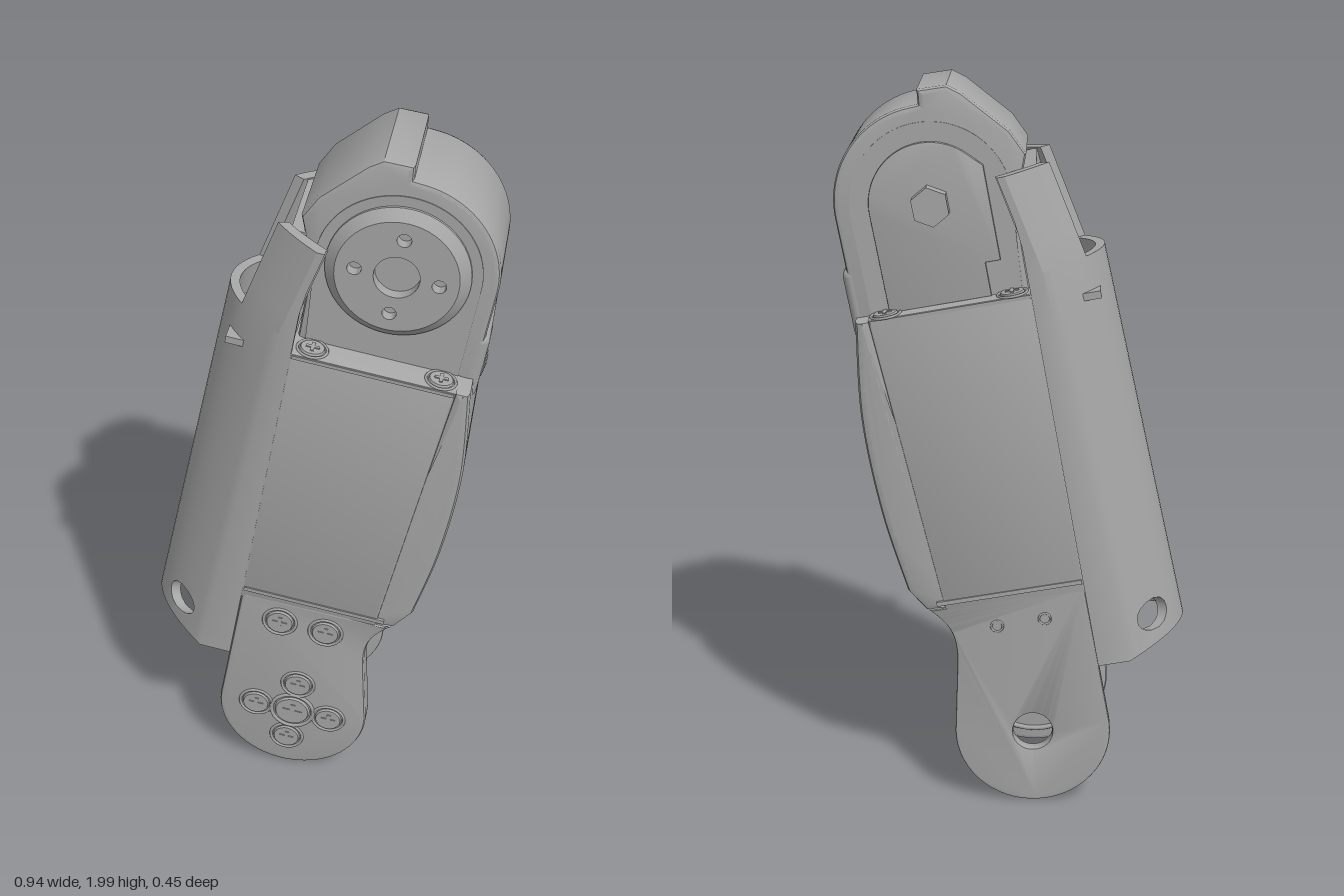
import * as THREE from 'three';
import { toCreasedNormals } from 'three/addons/utils/BufferGeometryUtils.js';
import { RoundedBoxGeometry } from 'three/addons/geometries/RoundedBoxGeometry.js';

const grey = new THREE.MeshStandardMaterial({ color: 0xa6a6a6, side: THREE.DoubleSide });
grey.name = 'grey plastic';
const HEAD_Y = 1.503; // distance between the two joint axes

function add(parent, geo, name, x = 0, y = 0, z = 0) {
  const m = new THREE.Mesh(geo, grey);
  m.name = name;
  m.position.set(x, y, z);
  parent.add(m);
  return m;
}

const poly = pts => new THREE.Shape(pts.map(p => new THREE.Vector2(p[0], p[1])));

function circleHole(shape, x, y, r) {
  shape.holes.push(new THREE.Path().absarc(x, y, r, 0, Math.PI * 2, true));
}

// Extrude an outline from z0 to z1, with the bevel kept inside the outline
function slab(shape, z0, z1, b = 0) {
  const g = new THREE.ExtrudeGeometry(shape, {
    depth: z1 - z0 - 2 * b, bevelEnabled: b > 0, bevelSize: b, bevelThickness: b,
    bevelOffset: -b, bevelSegments: 2, curveSegments: 32,
  });
  g.translate(0, 0, z0 + b);
  return toCreasedNormals(g, 0.5);
}

// Cross-head screw facing +z, resting on z = 0
function screw(parent, r, x, y, z, h = 0.006) {
  const s = new THREE.Group();
  s.name = 'screw';
  s.position.set(x, y, z);
  add(s, new THREE.CylinderGeometry(r * 0.72, r * 0.78, h, 24).rotateX(Math.PI / 2), 'screwHead', 0, 0, h / 2);
  add(s, new THREE.TorusGeometry(r * 0.93, r * 0.09, 6, 28), 'screwRim');
  for (const a of [0, Math.PI / 2]) {
    add(s, new THREE.BoxGeometry(r * 0.85, r * 0.22, 0.004), 'crossSlot', 0, 0, h + 0.001).rotation.z = a;
  }
  parent.add(s);
  return s;
}

// Fork arm outline: round foot, slight waist, flared top
function forkShape() {
  const s = new THREE.Shape();
  s.moveTo(-0.213, 0.41);
  s.lineTo(-0.215, 0);
  s.absarc(0, 0, 0.215, Math.PI, Math.PI * 2 + 0.25, false);
  s.lineTo(0.168, 0.24);
  s.bezierCurveTo(0.15, 0.33, 0.17, 0.36, 0.215, 0.41);
  return s;
}

// Curved rear shell: arched section swept upward, with a top notch and two round holes
function shellGeometry() {
  const cols = [];
  for (let k = 0; k <= 20; k++) cols.push({ z: -0.2 + 0.02 * k });
  cols.unshift({ z: -0.215, side: true }, { z: -0.215 });
  cols.push({ z: 0.215 }, { z: 0.215, side: true });
  const rows = [0.17];
  for (let y = 0.215; y < 0.35; y += 0.015) rows.push(y);
  rows.push(0.5, 0.75, 1, 1.15, 1.29, 1.36, 1.43, 1.5, 1.55);
  const lerp = THREE.MathUtils.lerp;
  const holeD = (z, y) => Math.hypot((Math.abs(z) - 0.146) / 0.04, (y - 0.269) / 0.045);

  const flat = (c, j) => {
    let z = c.z, y = rows[j];
    if (j === 0) y += 0.03 * (1 - (z / 0.215) ** 2);
    const d = holeD(z, y);
    if (!c.side && d > 0.72 && d < 1.28) { // pull nearby points onto the hole rim
      z = Math.sign(z) * (0.146 + (Math.abs(z) - 0.146) / d);
      y = 0.269 + (y - 0.269) / d;
    }
    return { z, y, d, side: c.side };
  };
  const grid = cols.map(c => rows.map((_, j) => flat(c, j)));
  const place = (p, inner) => {
    const low = p.y < 1.29;
    const t = low ? (p.y - 0.2) / 1.09 : (p.y - 1.29) / 0.265;
    const base = low ? lerp(-0.3, -0.254, t) : lerp(-0.254, -0.2, t);
    const edge = Math.max(-0.213, base + 0.02);
    const x = p.side ? edge : base - 0.165 * (1 - (p.z / 0.215) ** 2);
    return inner ? [x + (p.side ? 0 : 0.025), p.y, p.z * 0.9] : [x, p.y, p.z];
  };

  const pos = [], edges = new Map();
  const quad = (a, b, c, d) => pos.push(...a, ...b, ...c, ...a, ...c, ...d);
  for (let i = 0; i < cols.length - 1; i++) {
    for (let j = 0; j < rows.length - 1; j++) {
      const ids = [[i, j], [i + 1, j], [i + 1, j + 1], [i, j + 1]];
      const p = ids.map(([a, b]) => grid[a][b]);
      const cz = p.reduce((s, q) => s + q.z / 4, 0), cy = p.reduce((s, q) => s + q.y / 4, 0);
      if (rows[j] >= 1.29 && Math.abs(cz) < 0.12) continue;
      if (holeD(cz, cy) < 0.9 || p.some(q => q.d <= 0.72)) continue;
      quad(...p.map(q => place(q, false)));
      quad(...p.map(q => place(q, true)).reverse());
      ids.forEach((id, k) => {
        const n = (k + 1) % 4, back = ids[n] + '|' + id;
        if (edges.has(back)) edges.delete(back);
        else edges.set(id + '|' + ids[n], [p[k], p[n]]);
      });
    }
  }
  // Close the wall thickness along every open edge
  for (const [a, b] of edges.values()) quad(place(b), place(a), place(a, true), place(b, true));
  const g = new THREE.BufferGeometry();
  g.setAttribute('position', new THREE.Float32BufferAttribute(pos, 3));
  return toCreasedNormals(g, 0.6);
}

export function createModel() {
  const model = new THREE.Group();
  model.name = 'legLink';
  const link = new THREE.Group();
  link.name = 'tiltedLink';
  link.position.set(-0.055, 0.218, 0);
  link.rotation.z = -0.177;
  model.add(link);

  // Lower fork: thick front arm, thin rear arm with a pivot hole
  add(link, slab(forkShape(), 0.14, 0.215, 0.012), 'frontForkArm');
  const rear = forkShape();
  circleHole(rear, 0, 0, 0.055);
  add(link, slab(rear, -0.212, -0.175, 0.006), 'rearForkArm');
  add(link, new THREE.TorusGeometry(0.175, 0.008, 6, 40), 'innerFlangeRing', 0, 0, 0.14);
  add(link, new THREE.TorusGeometry(0.035, 0.005, 6, 24), 'innerHubRing', 0, 0, 0.14);
  screw(link, 0.066, 0, 0, 0.215);
  for (let k = 0; k < 4; k++) {
    const a = 0.01 + k * Math.PI / 2;
    screw(link, 0.05, 0.108 * Math.cos(a), 0.108 * Math.sin(a), 0.215);
    add(link, new THREE.TorusGeometry(0.018, 0.004, 6, 16), 'innerBolt', 0.108 * Math.cos(a), 0.108 * Math.sin(a), 0.14);
  }
  for (const x of [-0.092, 0.04]) {
    screw(link, 0.05, x, 0.333, 0.215);
    add(link, new THREE.TorusGeometry(0.016, 0.003, 6, 16), 'rearBolt', x, 0.333, -0.212);
  }
  add(link, new RoundedBoxGeometry(0.3, 0.12, 0.36, 2, 0.015), 'crossBar', -0.04, 0.375, -0.01);

  // Body: flat-sided core and bulging front cover
  const core = poly([[-0.216, 0.39], [0.17, 0.4], [0.215, 1.24], [-0.217, 1.24]]);
  add(link, slab(core, -0.212, 0.214, 0.006), 'bodyCore');
  const cover = new THREE.Shape();
  cover.moveTo(0.1, 0.4);
  cover.lineTo(0.222, 0.405);
  cover.lineTo(0.262, 0.47);
  cover.splineThru([[0.288, 0.707], [0.288, 0.976], [0.25, 1.238]].map(p => new THREE.Vector2(...p)));
  cover.lineTo(0.21, 1.238);
  cover.lineTo(0.162, 0.425);
  add(link, slab(cover, -0.208, 0.21, 0.02), 'bodyCover');
  for (const z of [-0.212, 0.214]) {
    add(link, new THREE.BoxGeometry(0.4, 0.012, 0.008), 'foldStrip', -0.01, 0.425, z);
    add(link, new THREE.BoxGeometry(0.42, 0.01, 0.006), 'topSeam', 0, 1.232, z);
  }
  for (const x of [-0.165, 0.17]) for (const z of [-0.18, 0.172]) {
    screw(link, 0.042, x, 1.241, z).rotation.x = -Math.PI / 2;
  }

  // Head housing around the upper joint
  const head = poly([[-0.21, 1.18], [-0.212, 1.45], [-0.262, 1.586], [-0.231, 1.651],
    [-0.128, 1.766], [-0.094, 1.791], [-0.018, 1.793], [-0.014, 1.756]]);
  head.absarc(0, HEAD_Y, 0.252, 1.5, 0, true);
  head.lineTo(0.252, 1.18);
  add(link, slab(head, -0.157, 0.132, 0.014), 'headHousing');
  const panel = new THREE.Shape();
  panel.moveTo(-0.19, 1.24);
  panel.lineTo(0.21, 1.24);
  panel.absarc(0, HEAD_Y, 0.21, 0, Math.PI, false);
  add(link, slab(panel, 0.13, 0.135), 'frontHeadPanel');
  add(link, slab(panel, -0.16, -0.155), 'rearHeadPanel');

  // Tab with two screws on the outer side
  add(link, new RoundedBoxGeometry(0.05, 0.2, 0.287, 4, 0.024), 'headTab', 0.241, 1.27, -0.0125);
  for (const z of [-0.062, 0.072]) {
    screw(link, 0.042, 0.265, 1.262, z).rotation.y = Math.PI / 2;
  }

  // Output disc with a centre bore and four bolt holes
  const disc = new THREE.Shape().absarc(0, 0, 0.155, 0, Math.PI * 2, false);
  circleHole(disc, 0, 0, 0.058);
  for (let k = 0; k < 4; k++) {
    const a = 0.2 - 0.177 + k * Math.PI / 2;
    circleHole(disc, 0.107 * Math.cos(a), 0.107 * Math.sin(a), 0.018);
  }
  add(link, slab(disc, 0.13, 0.166), 'outputDisc', 0, HEAD_Y);
  const rim = [[0.15, 0.13], [0.183, 0.13], [0.183, 0.142], [0.156, 0.166], [0.15, 0.166]];
  const rimGeo = new THREE.LatheGeometry(rim.map(p => new THREE.Vector2(...p)), 56);
  add(link, toCreasedNormals(rimGeo.rotateX(Math.PI / 2), 0.4), 'discRim', 0, HEAD_Y);

  // Rear bearing bracket and hex stub
  const bracket = new THREE.Shape();
  bracket.moveTo(-0.15, 1.33);
  bracket.lineTo(-0.11, 1.33);
  bracket.lineTo(-0.11, 1.24);
  bracket.lineTo(0.16, 1.24);
  bracket.lineTo(0.16, HEAD_Y);
  bracket.absarc(0, HEAD_Y, 0.16, 0, Math.PI * 0.75, false);
  bracket.lineTo(-0.15, 1.58);
  add(link, slab(bracket, -0.172, -0.155, 0.003), 'rearBracket');
  const hex = new THREE.CylinderGeometry(0.052, 0.052, 0.05, 6).rotateX(Math.PI / 2);
  add(link, toCreasedNormals(hex, 0.4), 'hexStub', 0, HEAD_Y, -0.183);

  // Rear shell, its recessed wall and the two screws in the pocket
  add(link, shellGeometry(), 'rearShell');
  add(link, new THREE.BoxGeometry(0.04, 0.4, 0.26), 'recessWall', -0.27, 1.345, 0).rotation.z = -0.05;
  add(link, new THREE.BoxGeometry(0.14, 0.02, 0.3), 'pocketFloor', -0.32, 1.19, 0);
  for (const z of [-0.065, 0.065]) {
    screw(link, 0.038, -0.335, 1.2, z).rotation.x = -Math.PI / 2;
  }
  return model;
}
